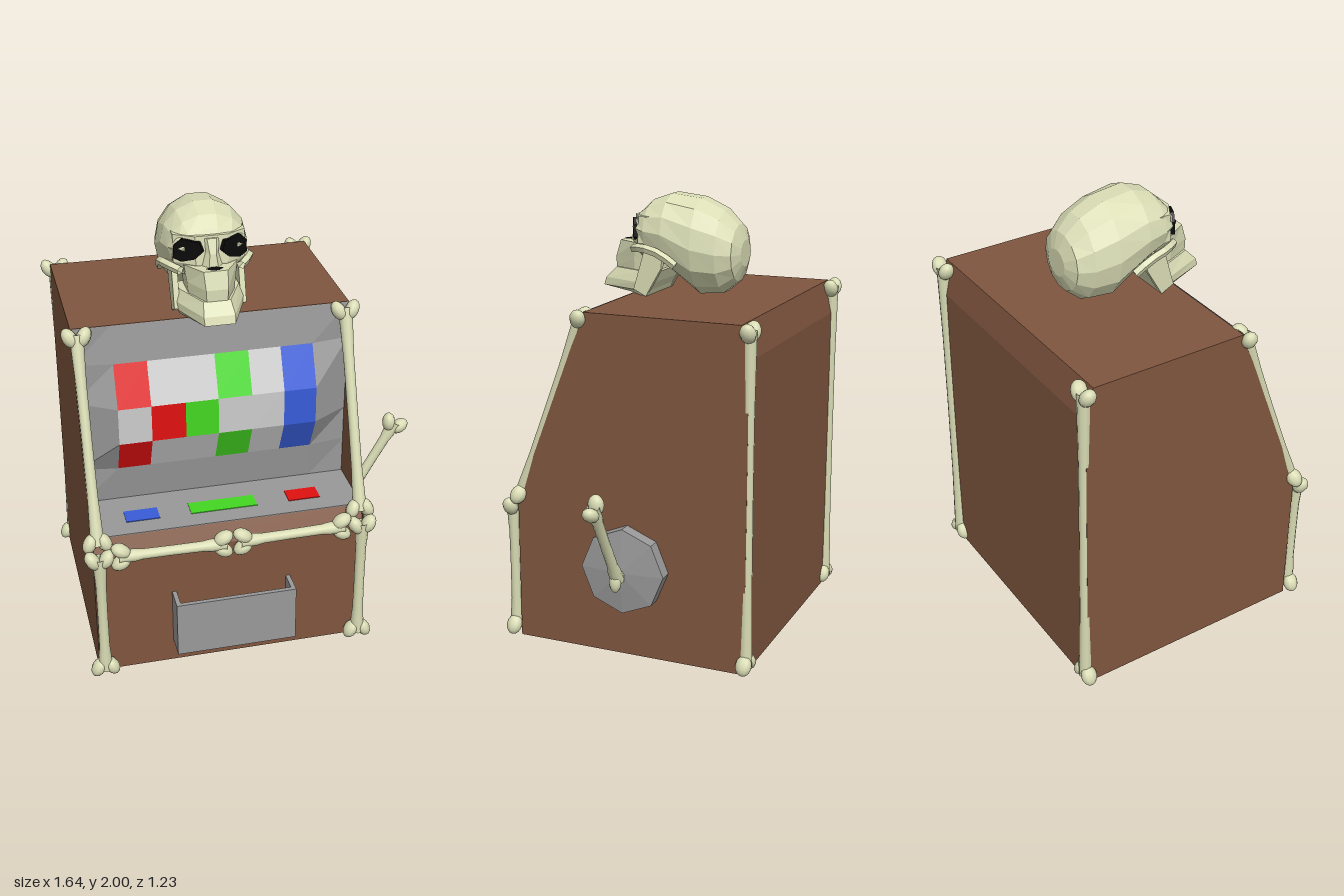
import * as THREE from 'three';

const mat = (color, flatShading = true) =>
  new THREE.MeshStandardMaterial({ color, flatShading, side: THREE.DoubleSide });
const brown = mat(0x80563f), grey = mat(0x999999), light = mat(0xcccccc), black = mat(0x0a0a0a);
const red = mat(0xe01010), green = mat(0x44d822), blue = mat(0x385cd8);
const boneMat = mat(0xd9dcb4, false), skullMat = mat(0xd9dcb4);
const CX = -0.17, X0 = -0.78, X1 = 0.44;

function add(parent, geo, material, name, x = 0, y = 0, z = 0) {
  const m = new THREE.Mesh(geo, material);
  m.name = name;
  m.position.set(x, y, z);
  parent.add(m);
  return m;
}
// box given by its min and max corners
function block(parent, material, name, [ax, ay, az], [bx, by, bz]) {
  return add(parent, new THREE.BoxGeometry(bx - ax, by - ay, bz - az), material, name,
    (ax + bx) / 2, (ay + by) / 2, (az + bz) / 2);
}
const shapeOf = pts => new THREE.Shape(pts.map(p => new THREE.Vector2(...p)));
// side profile of (z, y) points, extruded along x and ending at xMax
function sideExtrude(pts, width, xMax) {
  return new THREE.ExtrudeGeometry(shapeOf(pts), { depth: width, bevelEnabled: false })
    .rotateY(-Math.PI / 2).translate(xMax, 0, 0);
}
function fromTriangles(pos) {
  const g = new THREE.BufferGeometry();
  g.setAttribute('position', new THREE.Float32BufferAttribute(pos, 3));
  g.computeVertexNormals();
  return g;
}
// skin over a row of rings, closed with a cap at both ends
function loft(rings) {
  const pos = [], n = rings[0].length;
  const tri = (a, b, c) => pos.push(...a, ...b, ...c);
  for (let i = 0; i + 1 < rings.length; i++) {
    for (let j = 0; j < n; j++) {
      const k = (j + 1) % n, p = rings[i], q = rings[i + 1];
      tri(p[j], p[k], q[k]);
      tri(p[j], q[k], q[j]);
    }
  }
  const s = rings[0], e = rings[rings.length - 1];
  for (let j = 1; j + 1 < n; j++) {
    tri(s[0], s[j + 1], s[j]);
    tri(e[0], e[j], e[j + 1]);
  }
  return fromTriangles(pos);
}

// long bone from a to b, its knuckles spread along the flare direction
function bone(parent, name, a, b, flare, startSize = 1) {
  const A = new THREE.Vector3(...a), B = new THREE.Vector3(...b);
  const L = A.distanceTo(B), dir = B.clone().sub(A).normalize();
  const fx = new THREE.Vector3(...flare);
  fx.addScaledVector(dir, -fx.dot(dir)).normalize();
  const g = new THREE.Group();
  g.name = name;
  const profile = [[0.03, 0.03], [0.029, 0.1], [0.024, 0.25 * L], [0.023, 0.5 * L],
    [0.024, 0.75 * L], [0.029, L - 0.1], [0.03, L - 0.03]];
  add(g, new THREE.LatheGeometry(profile.map(p => new THREE.Vector2(...p)), 10), boneMat, 'shaft');
  for (const end of [0, 1]) for (const s of [-1, 1]) {
    const k = end ? 1 : startSize;
    const lobe = add(g, new THREE.SphereGeometry(1, 10, 8), boneMat, 'knuckle',
      s * 0.03 * k, end ? L - 0.042 : 0.042, 0);
    lobe.scale.set(0.031 * k, 0.046, 0.036 * k);
    lobe.rotation.z = s * (end ? -0.5 : 0.5);
  }
  g.quaternion.setFromRotationMatrix(
    new THREE.Matrix4().makeBasis(fx, dir, fx.clone().cross(dir)));
  g.position.copy(A);
  parent.add(g);
}

// bulging reel display, one coloured facet per cell
function buildDisplay() {
  const g = new THREE.Group();
  g.name = 'reelDisplay';
  const xs = [X0, -0.61, -0.465, -0.315, -0.17, -0.02, 0.125, 0.27, X1];
  const ys = [0.68, 0.855, 1.02, 1.19, 1.37, 1.54], zs = [0.175, 0.2, 0.28, 0.28, 0.2, 0.175];
  const rows = ['pppppppp', 'prllglbp', 'plrgllbp', 'prllglbp', 'pppppppp'];
  const kinds = { p: [grey, 'panel'], l: [light, 'blankCells'], r: [red, 'redCells'],
    g: [green, 'greenCells'], b: [blue, 'blueCells'] };
  const P = (i, j) => [xs[i], ys[j], i === 0 || i === 8 ? 0.175 : zs[j]];
  for (const key in kinds) {
    const pos = [];
    rows.forEach((row, j) => [...row].forEach((c, i) => {
      if (c !== key) return;
      const a = P(i, j), b = P(i + 1, j), d = P(i + 1, j + 1), e = P(i, j + 1);
      pos.push(...a, ...b, ...d, ...a, ...d, ...e);
    }));
    add(g, fromTriangles(pos), ...kinds[key]);
  }
  return g;
}

function buildSkull() {
  const g = new THREE.Group();
  g.name = 'skull';
  // braincase: z, half width, bottom, top
  const cranium = [[-0.34, 0.065, 1.68, 1.8], [-0.315, 0.13, 1.61, 1.87], [-0.25, 0.168, 1.555, 1.935],
    [-0.14, 0.188, 1.545, 1.985], [0, 0.188, 1.65, 2], [0.09, 0.172, 1.7, 1.968],
    [0.14, 0.15, 1.77, 1.92], [0.16, 0.12, 1.81, 1.885]].map(([z, w, lo, hi]) =>
    Array.from({ length: 14 }, (_, i) => {
      const t = i / 14 * Math.PI * 2;
      return [w * Math.cos(t), (lo + hi) / 2 + (hi - lo) / 2 * Math.sin(t), z];
    }));
  add(g, loft(cranium), skullMat, 'braincase');
  // face parts, bottom up: y, half width, back z, middle z, front z
  const stack = (name, rows) => add(g, loft(rows.map(([y, w, zb, zm, zf]) => [
    [0.45 * w, y, zf], [w, y, zm], [w, y, zb], [-w, y, zb], [-w, y, zm], [-0.45 * w, y, zf]])),
    skullMat, name);
  stack('lowerJaw', [[1.54, 0.13, 0.08, 0.12, 0.2], [1.565, 0.145, 0.07, 0.13, 0.33],
    [1.6, 0.15, 0.05, 0.12, 0.318], [1.65, 0.13, 0.03, 0.11, 0.27]]);
  stack('upperJaw', [[1.65, 0.1, 0.05, 0.16, 0.275], [1.7, 0.105, 0.05, 0.16, 0.275],
    [1.775, 0.115, 0.04, 0.15, 0.25]]);
  stack('cheeks', [[1.72, 0.12, 0.04, 0.11, 0.17], [1.78, 0.155, 0.02, 0.12, 0.18],
    [1.9, 0.155, 0.02, 0.115, 0.165]]);
  stack('noseBridge', [[1.77, 0.045, 0.1, 0.18, 0.212], [1.83, 0.03, 0.1, 0.17, 0.2],
    [1.89, 0.045, 0.1, 0.15, 0.175]]);
  const nose = shapeOf([[-0.04, -0.225], [0, -0.205], [0.04, -0.225], [0.015, -0.248], [-0.015, -0.248]]);
  add(g, new THREE.ShapeGeometry(nose).rotateX(-Math.PI / 2), black, 'noseHole', 0, 1.778, 0);
  const eye = shapeOf([[-0.065, 0], [-0.03, -0.035], [0.03, -0.05], [0.065, -0.035],
    [0.062, 0.02], [0.03, 0.05], [-0.05, 0.04]]);
  for (const s of [-1, 1]) {
    const half = new THREE.Group();
    half.name = s > 0 ? 'leftSide' : 'rightSide';
    half.scale.x = s;
    const e = add(half, new THREE.ExtrudeGeometry(eye, { depth: 0.02, bevelEnabled: false }),
      black, 'eyeSocket', 0.092, 1.84, 0.148);
    e.rotation.y = 0.45;
    // cheek arch running back to the temple
    const arch = new THREE.CatmullRomCurve3([[0.13, 1.75, 0.15], [0.182, 1.76, 0.08],
      [0.19, 1.74, 0], [0.178, 1.69, -0.07]].map(p => new THREE.Vector3(...p)));
    add(half, new THREE.TubeGeometry(arch, 5, 0.02, 5), skullMat, 'cheekArch');
    // upright rear branch of the jaw
    add(half, sideExtrude([[0.08, 1.54], [0.14, 1.57], [0.09, 1.74], [0, 1.73], [0.005, 1.67]],
      0.025, 0.158), skullMat, 'jawBranch');
    g.add(half);
  }
  g.position.x = CX;
  return g;
}

export function createModel() {
  const root = new THREE.Group();
  root.name = 'boneSlotMachine';

  // cabinet with open wings beside the display
  add(root, sideExtrude([[-0.58, 0], [0.51, 0], [0.51, 0.6], [0.47, 0.68], [0.17, 0.68],
    [0.17, 1.54], [-0.545, 1.54], [-0.58, 1.39]], X1 - X0, X1), brown, 'cabinet');
  for (const x of [X0 + 0.006, X1])
    add(root, sideExtrude([[0.17, 0.67], [0.47, 0.67], [0.51, 0.6], [0.51, 0.66], [0.17, 1.54]],
      0.006, x), brown, 'sideWing');
  root.add(buildDisplay());

  // control shelf and buttons
  block(root, grey, 'shelf', [X0 + 0.006, 0.675, 0.17], [X1 - 0.006, 0.684, 0.47]);
  for (const [m, a, b] of [[blue, -0.61, -0.46], [green, -0.32, -0.02], [red, 0.125, 0.27]])
    block(root, m, 'button', [a, 0.68, 0.295], [b, 0.687, 0.38]);

  // payout tray, open at the top
  const tray = new THREE.Group();
  tray.name = 'payoutTray';
  block(tray, grey, 'trayFront', [-0.44, 0.11, 0.6], [0.1, 0.375, 0.62]);
  block(tray, grey, 'trayFloor', [-0.44, 0.11, 0.505], [0.1, 0.13, 0.6]);
  for (const x of [-0.44, 0.08])
    block(tray, grey, 'traySide', [x, 0.13, 0.505], [x + 0.02, 0.375, 0.6]);
  root.add(tray);

  // lever hub and arm
  const hub = [[0, 0], [0.195, 0], [0.195, 0.065], [0, 0.09]].map(p => new THREE.Vector2(...p));
  add(root, new THREE.LatheGeometry(hub, 8).rotateZ(-Math.PI / 2), grey, 'leverHub', 0.435, 0.415, -0.03);
  bone(root, 'leverArm', [0.52, 0.36, -0.025], [0.775, 0.815, -0.02], [1, 0, 0], 0.75);

  // bone trim along the edges
  for (const x of [-0.757, 0.417]) {
    bone(root, 'backBone', [x, 0.005, -0.58], [x, 1.55, -0.575], [1, 0, 0]);
    bone(root, 'slopeBone', [x, 0.645, 0.52], [x, 1.55, 0.18], [1, 0, 0]);
    bone(root, 'frontBone', [x, 0.005, 0.545], [x, 0.665, 0.548], [1, 0, 0]);
  }
  bone(root, 'crossBone', [-0.705, 0.625, 0.545], [-0.172, 0.618, 0.545], [0, 1, 0]);
  bone(root, 'crossBone', [-0.168, 0.618, 0.545], [0.365, 0.625, 0.545], [0, 1, 0]);

  root.add(buildSkull());
  return root;
}
